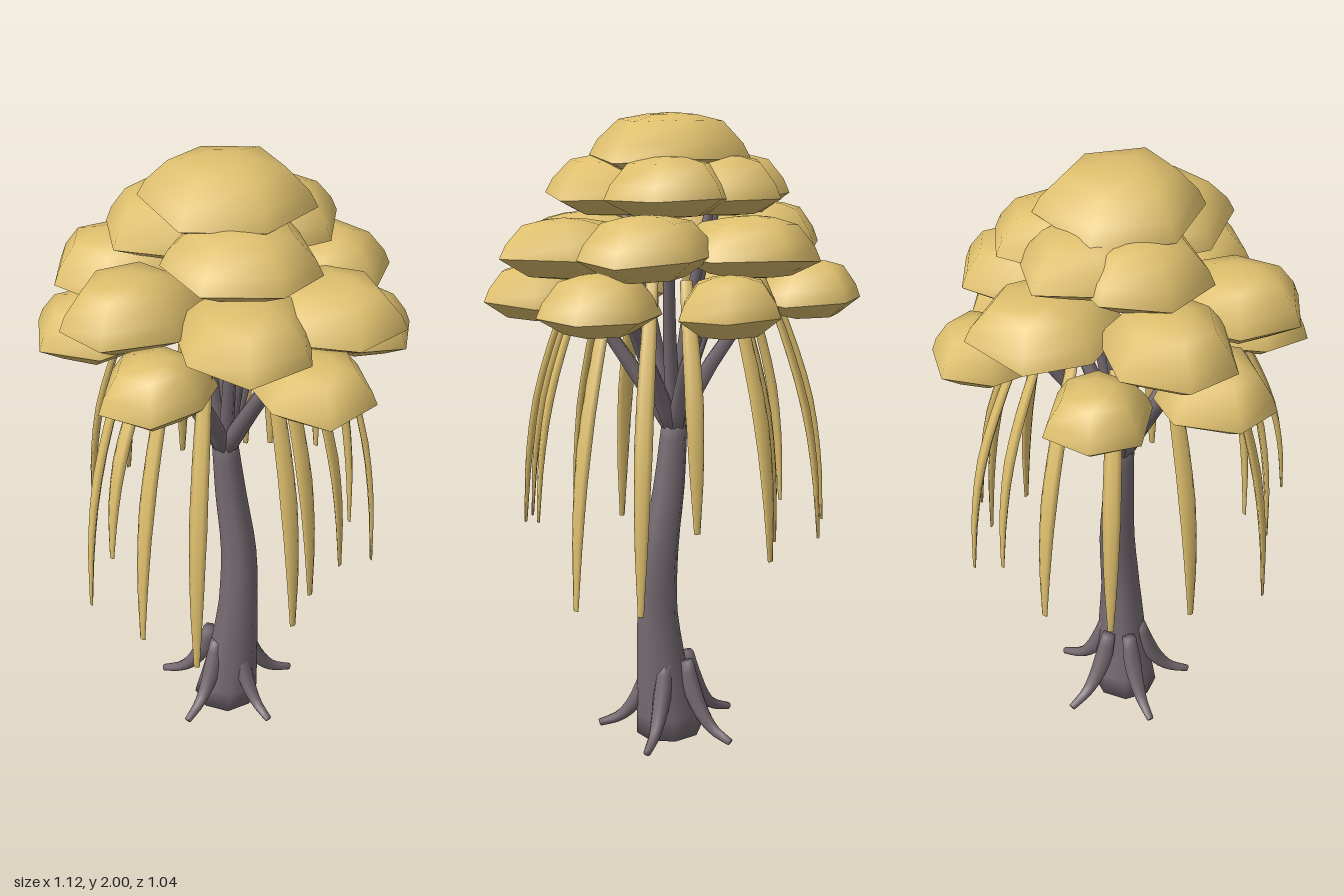
import * as THREE from 'three';
import { mergeVertices } from 'three/addons/utils/BufferGeometryUtils.js';

const V = (x, y, z) => new THREE.Vector3(x, y, z);

let seed = 11;
const rand = () => {
  seed = (seed * 16807) % 2147483647;
  return seed / 2147483647;
};

// Closed skin over rings of equal length, listed from bottom to top
function skin(rings) {
  const n = rings[0].length, pos = [], index = [];
  rings.forEach(ring => ring.forEach(p => pos.push(p.x, p.y, p.z)));
  for (let i = 0; i < rings.length - 1; i++) {
    for (let j = 0; j < n; j++) {
      const a = i * n + j, b = i * n + (j + 1) % n;
      index.push(a, a + n, b, b, a + n, b + n);
    }
  }
  let g = new THREE.BufferGeometry();
  g.setAttribute('position', new THREE.Float32BufferAttribute(pos, 3));
  g.setIndex(index);
  g = mergeVertices(g);
  g.computeVertexNormals();
  return g;
}

// Tapered limb along a curve; side is its width direction, flat its thickness ratio
function limb(points, radii, side, { flat = 1, sides = 8, steps = 10 } = {}) {
  const curve = new THREE.CatmullRomCurve3(points);
  const rings = [];
  const ringAt = (t, scale) => {
    const p = curve.getPoint(t);
    const normal = side.clone().cross(curve.getTangent(t)).normalize();
    const f = t * (radii.length - 1), i = Math.min(Math.floor(f), radii.length - 2);
    const r = THREE.MathUtils.lerp(radii[i], radii[i + 1], f - i) * scale;
    rings.push(Array.from({ length: sides }, (_, j) => {
      const a = (j / sides) * Math.PI * 2;
      return p.clone().addScaledVector(side, Math.cos(a) * r)
        .addScaledVector(normal, Math.sin(a) * r * flat);
    }));
  };
  ringAt(0, 0);
  for (let i = 0; i <= steps; i++) ringAt(i / steps, 1);
  ringAt(1, 0);
  return skin(rings);
}

export function createModel() {
  const model = new THREE.Group();
  const bark = new THREE.MeshStandardMaterial({ name: 'greyBark', color: 0x766b72 });
  const leaf = new THREE.MeshStandardMaterial({ name: 'goldenLeaf', color: 0xdebf6d });
  const add = (name, geometry, material, parent = model) => {
    const mesh = new THREE.Mesh(geometry, material);
    mesh.name = name;
    parent.add(mesh);
    return mesh;
  };
  const group = name => {
    const g = new THREE.Group();
    g.name = name;
    model.add(g);
    return g;
  };

  // Curved trunk
  add('trunk', limb(
    [V(0, 0.02, 0), V(0.025, 0.23, 0.01), V(0.04, 0.44, 0.018), V(0.042, 0.65, 0.005),
      V(0.018, 0.86, -0.012), V(-0.003, 1.08, -0.02)],
    [0.108, 0.083, 0.065, 0.058, 0.05, 0.04], V(1, 0, 0), { steps: 15 }), bark);
  const base = add('trunkBase', new THREE.ConeGeometry(0.1, 0.03, 8), bark);
  base.rotation.x = Math.PI;
  base.position.y = 0.015;

  // Five splayed roots
  const roots = group('roots');
  for (let i = 0; i < 5; i++) {
    const a = THREE.MathUtils.degToRad(57 + i * 72), c = Math.cos(a), s = Math.sin(a);
    const path = [[0.06, 0.28], [0.085, 0.19], [0.125, 0.115], [0.17, 0.07], [0.235, 0.045]];
    add('root', limb(path.map(([r, y]) => V(c * r + 0.005, y, s * r - 0.012)),
      [0.024, 0.031, 0.025, 0.018, 0.012], V(-s, 0, c), { sides: 7 }), bark, roots);
  }

  // Foliage clumps: x, z, radius, bottom y, height, angle of the first corner
  const clumps = [
    [-0.24, -0.36, 0.155, 1.385, 0.18, 55], [0.23, -0.36, 0.155, 1.38, 0.18, 32],
    [-0.4, -0.04, 0.165, 1.38, 0.19, 26], [0.4, -0.03, 0.165, 1.38, 0.18, 40],
    [-0.22, 0.33, 0.16, 1.38, 0.19, 40], [0.23, 0.34, 0.17, 1.38, 0.17, 23],
    [0.03, -0.32, 0.2, 1.53, 0.18, 1], [-0.32, -0.15, 0.185, 1.53, 0.2, 36],
    [0.31, -0.13, 0.19, 1.53, 0.19, 45], [-0.29, 0.16, 0.185, 1.53, 0.2, 45],
    [0.3, 0.17, 0.19, 1.52, 0.18, 20], [0.04, 0.3, 0.205, 1.51, 0.19, 30],
    [0.03, 0.17, 0.215, 1.69, 0.19, 8], [-0.17, -0.11, 0.185, 1.69, 0.19, 15],
    [-0.03, -0.17, 0.19, 1.7, 0.18, 34], [0.16, -0.11, 0.19, 1.7, 0.18, 45],
    [0, -0.01, 0.24, 1.8, 0.2, 5],
  ];
  const foliage = group('foliage');
  clumps.forEach(([x, z, r, y, h, turn], i) => {
    // corners facing the trunk reach further in, so the tiers close up
    const reach = i < 6 ? 0.12 : i < 16 ? 0.4 : 0;
    const corners = Array.from({ length: 6 }, (_, j) => {
      const a = THREE.MathUtils.degToRad(turn + j * 60 + (rand() - 0.5) * 14);
      const inward = Math.max(0, -Math.cos(a - Math.atan2(z, x)));
      return {
        a,
        r: r * (0.96 + rand() * 0.13) * (1 + reach * inward * inward),
        lift: (rand() - 0.5) * 0.14,
      };
    });
    const ring = (k, f) => corners.map(c => V(
      x + Math.cos(c.a) * c.r * k, y + h * (f + c.lift * k * k), z + Math.sin(c.a) * c.r * k));
    add('leafDome', skin([ring(1, 0.33), ring(0.9, 0.56), ring(0.64, 0.88), ring(0.3, 0.97), ring(0, 1)]), leaf, foliage);
    add('leafUnderside', skin([ring(0, 0), ring(0.55, 0.06), ring(1, 0.33)]), leaf, foliage);
  });

  // Branches fanning from the trunk to the lowest and third tiers
  const branches = group('branches');
  [...clumps.slice(0, 6), ...clumps.slice(12, 16)].forEach(([x, z], i) => {
    const k = i < 6 ? 0.72 : 0.8, top = i < 6 ? 1.5 : 1.75, len = Math.hypot(x, z);
    add('branch', limb(
      [V(0, 1.03, -0.02), V(x * k * 0.42, 1.03 + (top - 1.03) * 0.46, z * k * 0.42), V(x * k, top, z * k)],
      i < 6 ? [0.03, 0.025, 0.018] : [0.025, 0.02, 0.014],
      V(-z / len, 0, x / len), { sides: 6, steps: 6 }), bark, branches);
  });

  // Hanging fronds, given by the x, y, z of each tip
  const tips = [
    [-0.12, 0.57, 0.47], [0.485, 0.58, 0], [-0.44, 0.59, 0.18], [0.44, 0.59, -0.2],
    [-0.28, 0.62, 0.39], [0.17, 0.7, 0.45], [-0.31, 0.73, -0.38], [0.19, 0.74, -0.48],
    [0.23, 0.75, 0.37], [0.335, 0.77, 0.26], [0.1, 0.77, -0.44], [-0.36, 0.9, 0.34],
    [-0.43, 0.73, -0.16], [0.33, 0.83, -0.32], [-0.12, 0.73, -0.47],
  ];
  const fronds = group('fronds');
  tips.forEach(([x, y, z]) => {
    const len = Math.hypot(x, z), top = 1.53, drop = top - y;
    const path = [[0.6, 0], [0.77, 0.25], [0.9, 0.5], [0.97, 0.75], [1, 1]];
    add('frond', limb(path.map(([k, d]) => V(x * k, top - d * drop, z * k)),
      [0.018, 0.025, 0.027, 0.021, 0.009], V(-z / len, 0, x / len),
      { flat: 0.42, sides: 6, steps: 10 }), leaf, fronds);
  });

  return model;
}
